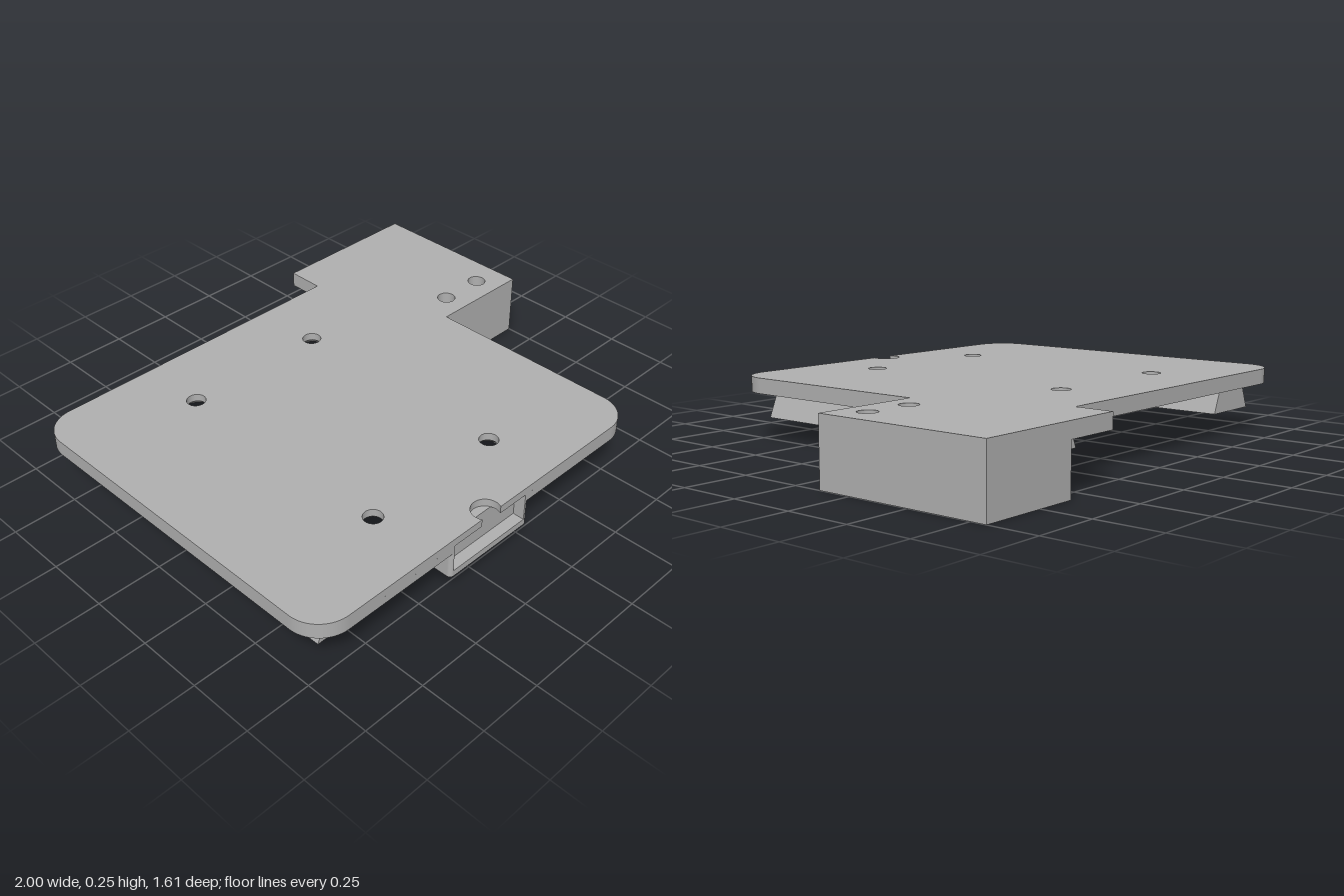
import * as THREE from 'three';

const FRONT = 0.8, BACK = -0.66, LEFT = -1, RIGHT = 0.58;
const PLATE_BOTTOM = 0.19, PLATE_MID = 0.22, PLATE_TOP = 0.25;
const SCREW_R = 0.036, HEAD_R = 0.068;
const plateHoles = [[-0.5, -0.385], [0.085, -0.385], [-0.5, 0.535], [0.085, 0.535]];
const blockHoles = [[0.69, -0.215], [0.88, -0.215]];
const socket = { x0: -0.39, x1: -0.03, z: 0.755 };

const grey = new THREE.MeshStandardMaterial({ color: 0xb0b0b0 });
grey.name = 'grey plastic';
const greyOpen = grey.clone();
greyOpen.side = THREE.DoubleSide;

// Extrude an (x, z) outline between two heights
function slab(name, shape, y0, y1) {
  const geo = new THREE.ExtrudeGeometry(shape, { depth: y1 - y0, bevelEnabled: false, curveSegments: 24 });
  geo.rotateX(Math.PI / 2).translate(0, y1, 0);
  const mesh = new THREE.Mesh(geo, grey);
  mesh.name = name;
  return mesh;
}

function addHoles(shape, centres, r) {
  for (const [x, z] of centres) shape.holes.push(new THREE.Path().absarc(x, z, r, 0, Math.PI * 2, true));
  return shape;
}

const polygon = (points) => new THREE.Shape(points.map(([x, z]) => new THREE.Vector2(x, z)));

// Rounded plate joined to the square rear tab; frontCut draws a cutout in the front edge
function plateOutline(frontCut) {
  const r = 0.13, s = new THREE.Shape();
  s.moveTo(LEFT + r, BACK);
  s.lineTo(0.375, BACK);
  s.lineTo(0.375, -0.81);
  s.lineTo(1, -0.81);
  s.lineTo(1, -0.115);
  s.lineTo(RIGHT, -0.115);
  s.lineTo(RIGHT, FRONT - r);
  s.absarc(RIGHT - r, FRONT - r, r, 0, Math.PI / 2, false);
  frontCut(s);
  s.lineTo(LEFT + r, FRONT);
  s.absarc(LEFT + r, FRONT - r, r, Math.PI / 2, Math.PI, false);
  s.lineTo(LEFT, BACK + r);
  s.absarc(LEFT + r, BACK + r, r, Math.PI, Math.PI * 1.5, false);
  return s;
}

function socketCut(s) {
  s.lineTo(socket.x1, FRONT);
  s.lineTo(socket.x1, socket.z);
  s.lineTo(socket.x0, socket.z);
  s.lineTo(socket.x0, FRONT);
}

function thumbCut(s) {
  const a = 0.49;
  s.absarc(-0.21, 0.775, 0.053, a, -Math.PI - a, true);
}

// Socket housing outline with small rounded front corners
function housingOutline(cut) {
  const x0 = -0.405, x1 = -0.012, z0 = 0.5, r = 0.015, s = new THREE.Shape();
  s.moveTo(x0, z0);
  s.lineTo(x1, z0);
  s.lineTo(x1, FRONT - r);
  s.absarc(x1 - r, FRONT - r, r, 0, Math.PI / 2, false);
  if (cut) socketCut(s);
  s.lineTo(x0 + r, FRONT);
  s.absarc(x0 + r, FRONT - r, r, Math.PI / 2, Math.PI, false);
  return s;
}

export function createModel() {
  const model = new THREE.Group();
  model.name = 'mountingPlate';

  // Plate in two layers: socket and screw recesses below, thumb notch above
  const lower = addHoles(plateOutline(socketCut), plateHoles, HEAD_R);
  addHoles(lower, blockHoles, SCREW_R);
  const upper = addHoles(plateOutline(thumbCut), [...plateHoles, ...blockHoles], SCREW_R);
  model.add(slab('plateLower', lower, PLATE_BOTTOM, PLATE_MID));
  model.add(slab('plateUpper', upper, PLATE_MID, PLATE_TOP));

  // Conical screw seats
  for (const [x, z] of plateHoles) {
    const cone = new THREE.Mesh(
      new THREE.CylinderGeometry(SCREW_R, HEAD_R, PLATE_MID - PLATE_BOTTOM, 32, 1, true), greyOpen);
    cone.position.set(x, (PLATE_MID + PLATE_BOTTOM) / 2, z);
    cone.name = 'screwSeat';
    model.add(cone);
  }

  // Rear corner block, hollow underneath, with wide screw bores
  const block = addHoles(polygon([[0.597, -0.81], [1, -0.81], [1, -0.115], [0.597, -0.115]]), blockHoles, HEAD_R);
  block.holes.push(polygon([[0.66, -0.75], [0.66, -0.36], [0.95, -0.36], [0.95, -0.75]]));
  model.add(slab('cornerBlock', block, 0, PLATE_BOTTOM));

  // Socket housing under the front edge
  model.add(slab('socketFloor', housingOutline(false), 0.085, 0.11));
  model.add(slab('socketWalls', housingOutline(true), 0.11, PLATE_BOTTOM));

  // Dovetail rails
  for (const x of [-0.79, 0.378]) {
    const profile = polygon([[-0.125, 0.085], [0.125, 0.085], [0.083, PLATE_BOTTOM], [-0.083, PLATE_BOTTOM]]);
    const rail = new THREE.Mesh(new THREE.ExtrudeGeometry(profile, { depth: 1.28, bevelEnabled: false }), grey);
    rail.position.set(x, 0, -0.575);
    rail.name = 'dovetailRail';
    model.add(rail);
  }
  return model;
}
